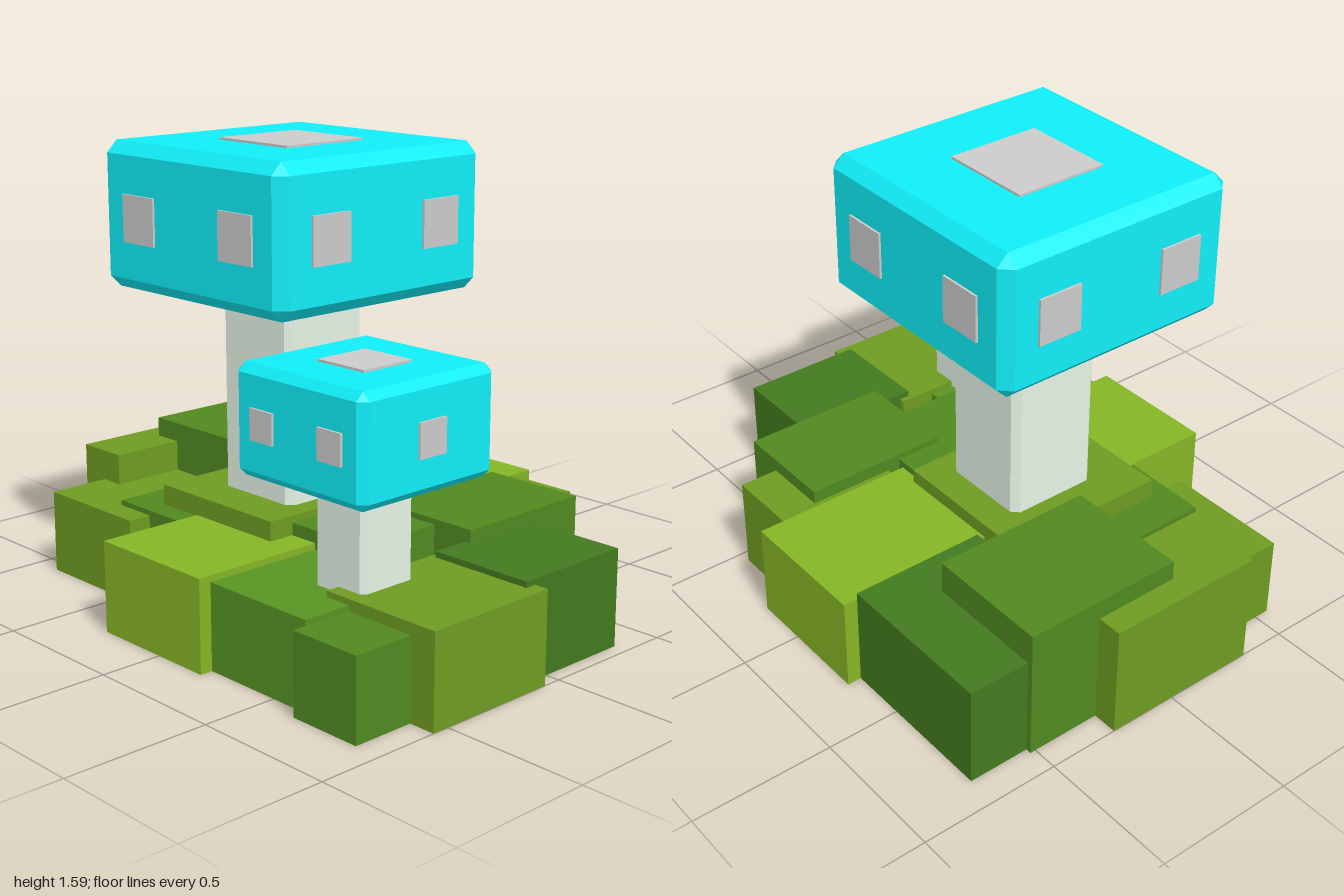
import * as THREE from 'three';
import { ConvexGeometry } from 'three/addons/geometries/ConvexGeometry.js';

const mat = (color) => new THREE.MeshStandardMaterial({ color, flatShading: true });
const mats = {
  cap: mat(0x11eef8), stem: mat(0xe6f5e6), spot: mat(0xcccccc),
  light: mat(0x86b526), olive: mat(0x6f9c22), leaf: mat(0x589422),
  medium: mat(0x50892a & 0xffff24), dark: mat(0x437a1e),
};

// Box with every edge cut by a flat chamfer c
function chamferBox(w, h, d, c) {
  const pts = [];
  for (const x of [-1, 1]) for (const y of [-1, 1]) for (const z of [-1, 1]) {
    for (let face = 0; face < 3; face++) {
      const inset = [c, c, c];
      inset[face] = 0;
      pts.push(new THREE.Vector3(x * (w / 2 - inset[0]), y * (h / 2 - inset[1]), z * (d / 2 - inset[2])));
    }
  }
  return new ConvexGeometry(pts);
}

function add(parent, name, geometry, material, x, y, z) {
  const mesh = new THREE.Mesh(geometry, material);
  mesh.name = name;
  mesh.position.set(x, y, z);
  parent.add(mesh);
  return mesh;
}

// Mushroom: chamfered stem and cap, flat spots on the top and four sides
function mushroom(o) {
  const g = new THREE.Group();
  g.name = o.name;
  g.position.set(o.x, 0, o.z);
  const h = o.top - o.bottom, r = o.cap / 2, t = 0.016;
  add(g, 'stem', chamferBox(o.stem, o.bottom + 0.01, o.stem, o.stemCut), mats.stem, o.stemX, (o.bottom + 0.01) / 2, 0);
  add(g, 'cap', chamferBox(o.cap, h, o.cap, o.capCut), mats.cap, 0, o.bottom + h / 2, 0);
  add(g, 'topSpot', new THREE.BoxGeometry(o.topSpot, t, o.topSpot), mats.spot, 0, o.top, 0);
  for (let i = 0; i < 4; i++) {
    const side = new THREE.Group();
    side.name = 'sideSpots';
    side.rotation.y = i * Math.PI / 2;
    const [size, offsets] = i % 2 ? o.sideSpots : o.frontSpots;
    for (const x of offsets) add(side, 'spot', new THREE.BoxGeometry(size, size, t), mats.spot, x, o.spotY, r);
    g.add(side);
  }
  return g;
}

export function createModel() {
  const model = new THREE.Group();
  model.name = 'mushroomsOnGrass';

  // Grass blocks: x range, z range, height, shade
  const grass = new THREE.Group();
  grass.name = 'grass';
  const blocks = [
    [-0.89, -0.30, -0.74, -0.25, 0.36, 'dark'],
    [-0.91, -0.46, -0.52, 0.06, 0.475, 'medium'],
    [-1.00, -0.80, -0.25, 0.33, 0.405, 'olive'],
    [-0.30, 0.19, -0.79, -0.20, 0.335, 'light'],
    [0.00, 0.455, -0.70, -0.25, 0.333, 'olive'],
    [0.21, 0.595, -0.56, -0.03, 0.38, 'medium'],
    [-0.46, 0.10, -0.22, 0.39, 0.385, 'olive'],
    [0.00, 0.435, -0.20, 0.295, 0.36, 'medium'],
    [0.57, 0.95, -0.34, 0.105, 0.335, 'dark'],
    [0.55, 1.00, 0.065, 0.56, 0.315, 'olive'],
    [-0.89, -0.44, 0.00, 0.555, 0.295, 'olive'],
    [-0.60, -0.20, 0.05, 0.47, 0.313, 'medium'],
    [-0.28, 0.21, 0.25, 0.78, 0.317, 'light'],
    [0.21, 0.645, 0.20, 0.735, 0.295, 'leaf'],
    [0.64, 0.905, 0.50, 0.78, 0.275, 'medium'],
  ];
  for (const [x0, x1, z0, z1, h, shade] of blocks) {
    add(grass, 'grassBlock', new THREE.BoxGeometry(x1 - x0, h, z1 - z0), mats[shade],
      (x0 + x1) / 2, h / 2, (z0 + z1) / 2);
  }
  model.add(grass);

  model.add(mushroom({
    name: 'largeMushroom', x: -0.15, z: 0.065, bottom: 1.085, top: 1.578, cap: 0.9, capCut: 0.04,
    stem: 0.345, stemX: 0.003, stemCut: 0.025, topSpot: 0.335, spotY: 1.33,
    frontSpots: [0.16, [-0.243, 0.243]], sideSpots: [0.16, [-0.243, 0.243]],
  }));
  model.add(mushroom({
    name: 'smallMushroom', x: 0.548, z: 0.402, bottom: 0.645, top: 1.0, cap: 0.56, capCut: 0.027,
    stem: 0.218, stemX: 0, stemCut: 0.016, topSpot: 0.2, spotY: 0.822,
    frontSpots: [0.1, [-0.147, 0.147]], sideSpots: [0.112, [0]],
  }));
  return model;
}
